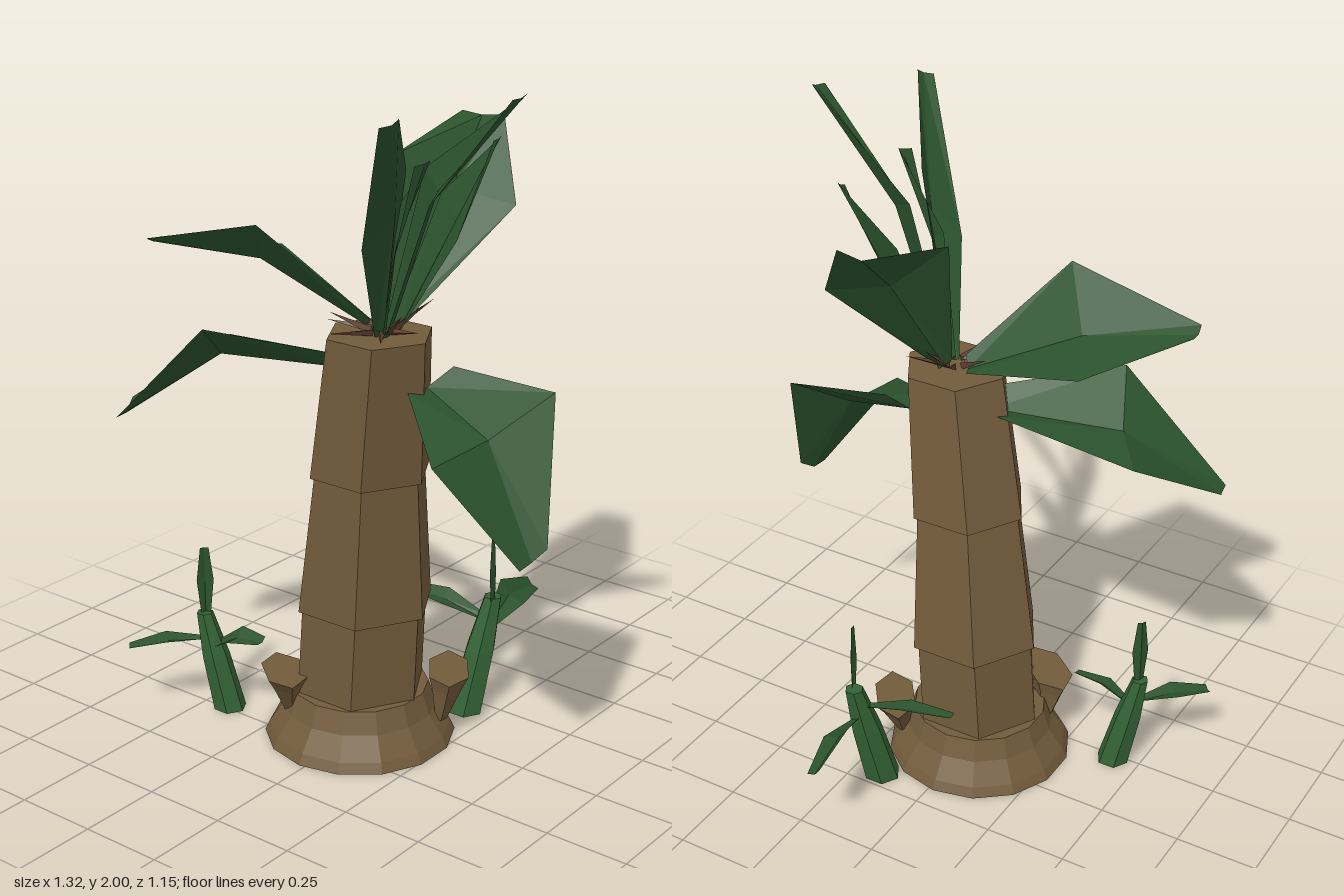
import * as THREE from 'three';

const paint = (name, color, side = THREE.FrontSide) => {
  const m = new THREE.MeshStandardMaterial({ color, flatShading: true, side });
  m.name = name;
  return m;
};
const V = (p) => new THREE.Vector3(...p);

export function createModel() {
  const bark = paint('bark brown', 0x725b3b);
  const fibre = paint('fibre brown', 0x5f4030);
  const leafGreen = paint('leaf green', 0x2b532d, THREE.DoubleSide);
  const stemGreen = paint('stem green', 0x336234);

  const root = new THREE.Group();
  root.name = 'bananaPlant';
  const add = (name, geo, mat, parent = root) => {
    const mesh = new THREE.Mesh(geo, mat);
    mesh.name = name;
    parent.add(mesh);
    return mesh;
  };

  // Prism with level ends whose axis runs from a to b
  const leaning = (a, b, ra, rb, sides) => {
    const h = b[1] - a[1];
    const geo = new THREE.CylinderGeometry(rb, ra, h, sides, 1, false, Math.PI / 2);
    const p = geo.attributes.position;
    for (let i = 0; i < p.count; i++) {
      const t = p.getY(i) / h + 0.5;
      p.setXYZ(i, p.getX(i) + a[0] + (b[0] - a[0]) * t, a[1] + h * t,
        p.getZ(i) + a[2] + (b[2] - a[2]) * t);
    }
    return geo;
  };

  // Flared foot
  const flare = [[0, 0], [0.282, 0], [0.268, 0.03], [0.225, 0.095], [0.203, 0.16], [0, 0.16]];
  const foot = new THREE.LatheGeometry(flare.map(([r, y]) => new THREE.Vector2(r, y)), 14);
  foot.translate(-0.017, 0, 0.1);
  add('trunkFoot', foot, bark);

  // Trunk of stacked six-sided sleeves
  [
    [[-0.015, 0.14, 0.1], [0.003, 0.43, 0.1], 0.197, 0.194],
    [[0.005, 0.425, 0.1], [0.045, 0.86, 0.127], 0.207, 0.168],
    [[0.043, 0.85, 0.125], [0.105, 1.275, 0.16], 0.181, 0.155],
  ].forEach(([a, b, ra, rb]) => add('trunkSleeve', leaning(a, b, ra, rb, 6), bark));

  // Peeling sheath stubs around the foot
  [[-0.145, 0.26, 0.02], [0.175, -0.045, 0]].forEach(([x, z, lift]) => {
    const stub = new THREE.Group();
    stub.name = 'sheathStub';
    stub.position.set(x, lift, z);
    stub.rotation.y = Math.atan2(x + 0.02, z - 0.1);
    stub.scale.z = 0.55;
    add('stubCup', leaning([-0.03, 0.06, 0], [-0.01, 0.16, 0.03], 0.035, 0.09, 6), bark, stub);
    add('stubRim', leaning([-0.01, 0.16, 0.03], [0, 0.2, 0.04], 0.09, 0.12, 6), bark, stub);
    root.add(stub);
  });

  // Folded leaf: narrow base, broad middle, blunt tip, with a sunken midrib
  const leaf = (name, base, l, r, tl, tr, baseWidth = 0.05) => {
    const [B, L, R, TL, TR] = [base, l, r, tl, tr].map(V);
    const along = TL.clone().add(TR).multiplyScalar(0.5).sub(B);
    const across = R.clone().sub(L);
    const down = along.cross(across).normalize();
    if (down.y > 0) down.negate();
    const half = across.clone().normalize().multiplyScalar(baseWidth / 2);
    const rows = [[B.clone().sub(half), B.clone().add(half)], [L, R], [TL, TR]];
    const pos = [], idx = [];
    rows.forEach(([a, b], i) => {
      const mid = a.clone().add(b).multiplyScalar(0.5)
        .addScaledVector(down, a.distanceTo(b) * (i === 0 ? 0.3 : 0.16));
      [a, mid, b].forEach((p) => pos.push(p.x, p.y, p.z));
      if (i < 2) {
        for (let k = 0; k < 2; k++) {
          const n = i * 3 + k;
          idx.push(n, n + 1, n + 4, n, n + 4, n + 3);
        }
      }
    });
    const geo = new THREE.BufferGeometry();
    geo.setAttribute('position', new THREE.Float32BufferAttribute(pos, 3));
    geo.setIndex(idx);
    geo.computeVertexNormals();
    add(name, geo, leafGreen);
  };

  // Crown leaves: base, two middle edges, two tip corners
  leaf('upperSideLeaf', [0.06, 1.3, 0.14], [-0.36, 1.42, 0.02], [-0.15, 1.58, 0.37],
    [-0.56, 1.47, 0.31], [-0.55, 1.48, 0.38], 0.07);
  leaf('lowerSideLeaf', [-0.02, 1.19, 0.17], [-0.5, 1.14, 0.1], [-0.31, 1.27, 0.42],
    [-0.66, 0.98, 0.35], [-0.63, 0.95, 0.45], 0.12);
  leaf('droopingLeaf', [0.25, 1.16, 0.12], [0.45, 1.03, 0.385], [0.575, 1.16, 0],
    [0.64, 0.745, 0.25], [0.66, 0.78, 0.15], 0.16);
  leaf('backLeaf', [0.12, 1.3, 0.12], [0.03, 1.73, 0], [0.32, 1.6, -0.17],
    [0.05, 1.81, -0.29], [0.18, 1.81, -0.31]);
  leaf('tallLeaf', [0.13, 1.28, 0.17], [0.36, 1.69, 0.285], [0.24, 1.75, 0.14],
    [0.6, 1.99, 0.27], [0.61, 2.0, 0.22]);
  leaf('frontLeaf', [0.12, 1.28, 0.18], [0.21, 1.57, 0.37], [0.3, 1.78, 0.3],
    [0.43, 1.95, 0.58], [0.46, 1.97, 0.54]);
  leaf('slimBackLeaf', [0.13, 1.28, 0.13], [0.33, 1.56, 0.12], [0.22, 1.66, 0.04],
    [0.38, 1.82, 0.03], [0.39, 1.83, 0.01]);
  leaf('slimFrontLeaf', [0.13, 1.28, 0.19], [0.29, 1.55, 0.34], [0.21, 1.62, 0.27],
    [0.37, 1.81, 0.36], [0.39, 1.82, 0.32]);

  // Dry fibres around the crown
  for (let i = 0; i < 11; i++) {
    const a = i * 2.4;
    const len = 0.1 + 0.025 * (i % 4);
    const dir = new THREE.Vector3(Math.cos(a), 0.15 + 0.35 * (i % 3), Math.sin(a)).normalize();
    const geo = new THREE.ConeGeometry(0.012, len, 3);
    geo.translate(0, len / 2, 0);
    const m = add('crownFibre', geo, fibre);
    m.position.set(0.11 + 0.03 * Math.cos(a), 1.285, 0.16 + 0.03 * Math.sin(a));
    m.quaternion.setFromUnitVectors(new THREE.Vector3(0, 1, 0), dir);
  }

  // Small shoots beside the trunk
  const smallLeaf = (base, tip, width, sideDir, bow) => {
    const [B, T, S] = [base, tip, sideDir].map(V);
    const mid = B.clone().lerp(T, 0.5);
    mid.y += bow;
    const at = (c, w) => c.clone().addScaledVector(S, w).toArray();
    leaf('shootLeaf', base, at(mid, -width / 2), at(mid, width / 2),
      at(T, -width / 4), at(T, width / 4), 0.025);
  };
  const shoot = (a, b, radius, leaves) => {
    const knee = a.map((v, i) => v + (b[i] - v) * 0.55);
    add('shootStem', leaning(a, knee, radius, radius * 0.85, 6), stemGreen);
    add('shootStem', leaning(knee, b, radius * 0.85, radius * 0.5, 6), stemGreen);
    leaves.forEach((l) => smallLeaf(...l));
  };
  shoot([-0.415, 0, 0.235], [-0.48, 0.31, 0.265], 0.05, [
    [[-0.475, 0.29, 0.265], [-0.475, 0.52, 0.265], 0.055, [0.6, 0, -0.7], 0.01],
    [[-0.465, 0.2, 0.265], [-0.27, 0.27, 0.25], 0.08, [0, -0.35, 0.93], 0.03],
    [[-0.48, 0.23, 0.275], [-0.63, 0.22, 0.44], 0.08, [0.7, 0, 0.7], 0.015],
  ]);
  shoot([0.16, 0, -0.19], [0.2, 0.36, -0.27], 0.056, [
    [[0.205, 0.33, -0.26], [0.215, 0.56, -0.245], 0.06, [0.3, 0, 0.95], 0],
    [[0.19, 0.26, -0.27], [0.145, 0.28, -0.57], 0.1, [0.85, -0.6, 0], 0.04],
    [[0.19, 0.29, -0.25], [-0.1, 0.34, -0.21], 0.08, [0.1, -0.2, 0.97], 0.02],
  ]);
  return root;
}
